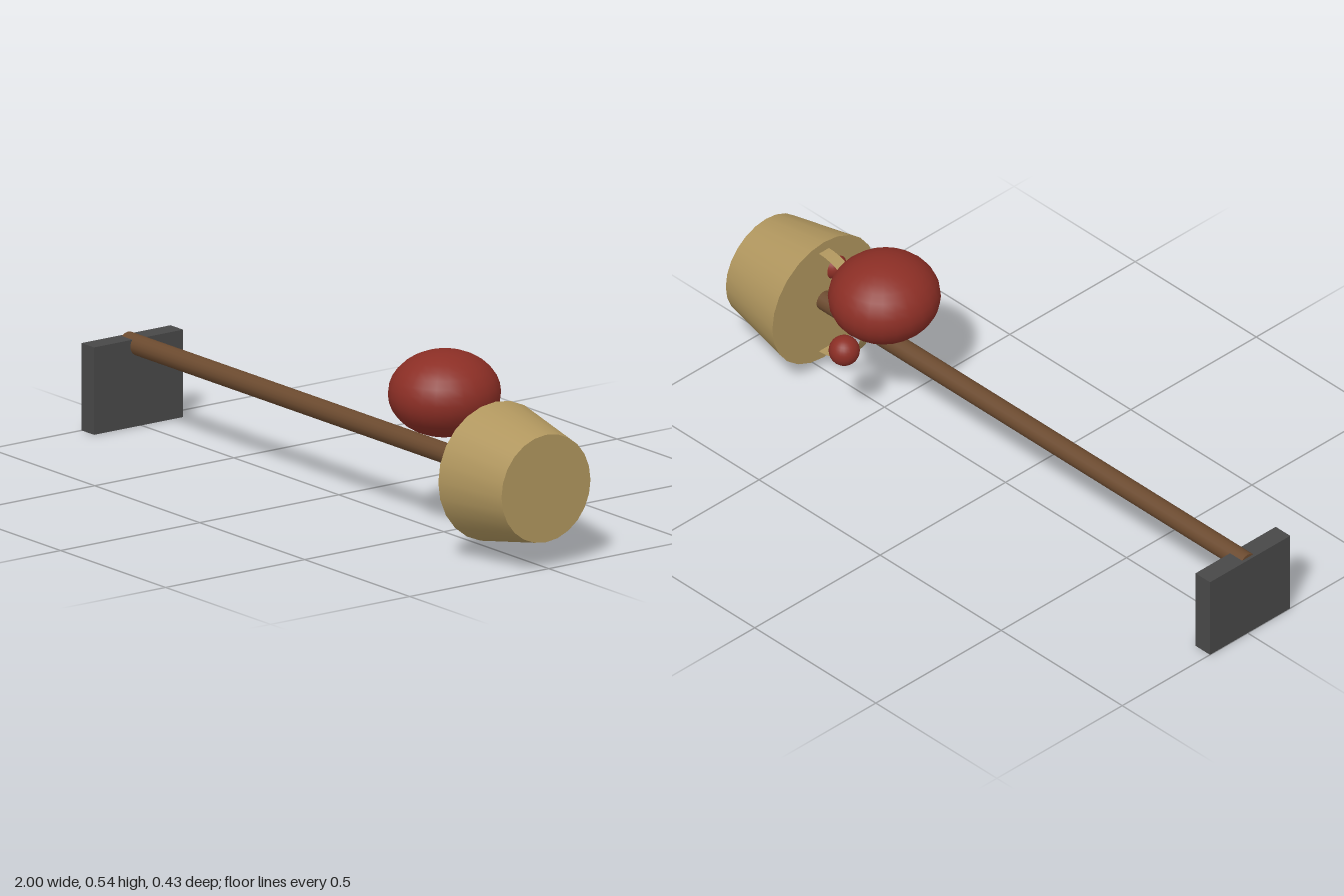
import * as THREE from 'three';

const material = (name, color, extra = {}) => {
  const m = new THREE.MeshStandardMaterial({ color, ...extra });
  m.name = name;
  return m;
};

export function createModel() {
  const group = new THREE.Group();
  const red = material('red', 0x8b2e25);
  const tan = material('tan', 0xb0965e, { side: THREE.DoubleSide });
  const brown = material('brown', 0x6b4a2f);
  const grey = material('dark grey', 0x484848);

  const add = (name, geometry, mat, x, y, z) => {
    const mesh = new THREE.Mesh(geometry, mat);
    mesh.name = name;
    mesh.position.set(x, y, z);
    group.add(mesh);
    return mesh;
  };
  const ball = (name, r, mat, x, y, z) =>
    add(name, new THREE.SphereGeometry(r, 24, 16), mat, x, y, z);

  // Plate at the far end of the pole
  add('endPlate', new THREE.BoxGeometry(0.06, 0.26, 0.32), grey, -0.97, 0.13, 0.01);

  // Long pole running through to the bucket's base
  const pole = new THREE.CylinderGeometry(0.03, 0.03, 1.985, 16).rotateZ(-Math.PI / 2);
  add('pole', pole, brown, 0.0025, 0.24, 0.01);

  // Closed tapered bucket, wide end towards the plate
  const bucket = new THREE.CylinderGeometry(0.16, 0.206, 0.24, 24).rotateZ(-Math.PI / 2);
  add('bucket', bucket, tan, 0.88, 0.24, 0.01);

  // Flat half-hoop handle bowed around the pole
  const handle = new THREE.CylinderGeometry(0.175, 0.175, 0.04, 24, 1, true, Math.PI, Math.PI)
    .rotateX(Math.PI / 2);
  add('handle', handle, tan, 0.76, 0.24, 0.01);

  // Flattened large ball with a small one beside it
  ball('largeBall', 0.165, red, 0.49, 0.41, -0.01).scale.set(0.97, 0.76, 1);
  ball('smallBall', 0.045, red, 0.49, 0.298, -0.17);

  // Two small balls half sunk into the bucket mouth
  ball('tanMouthBall', 0.06, tan, 0.78, 0.28, 0.09);
  ball('redMouthBall', 0.04, red, 0.775, 0.33, 0.06);

  return group;
}
